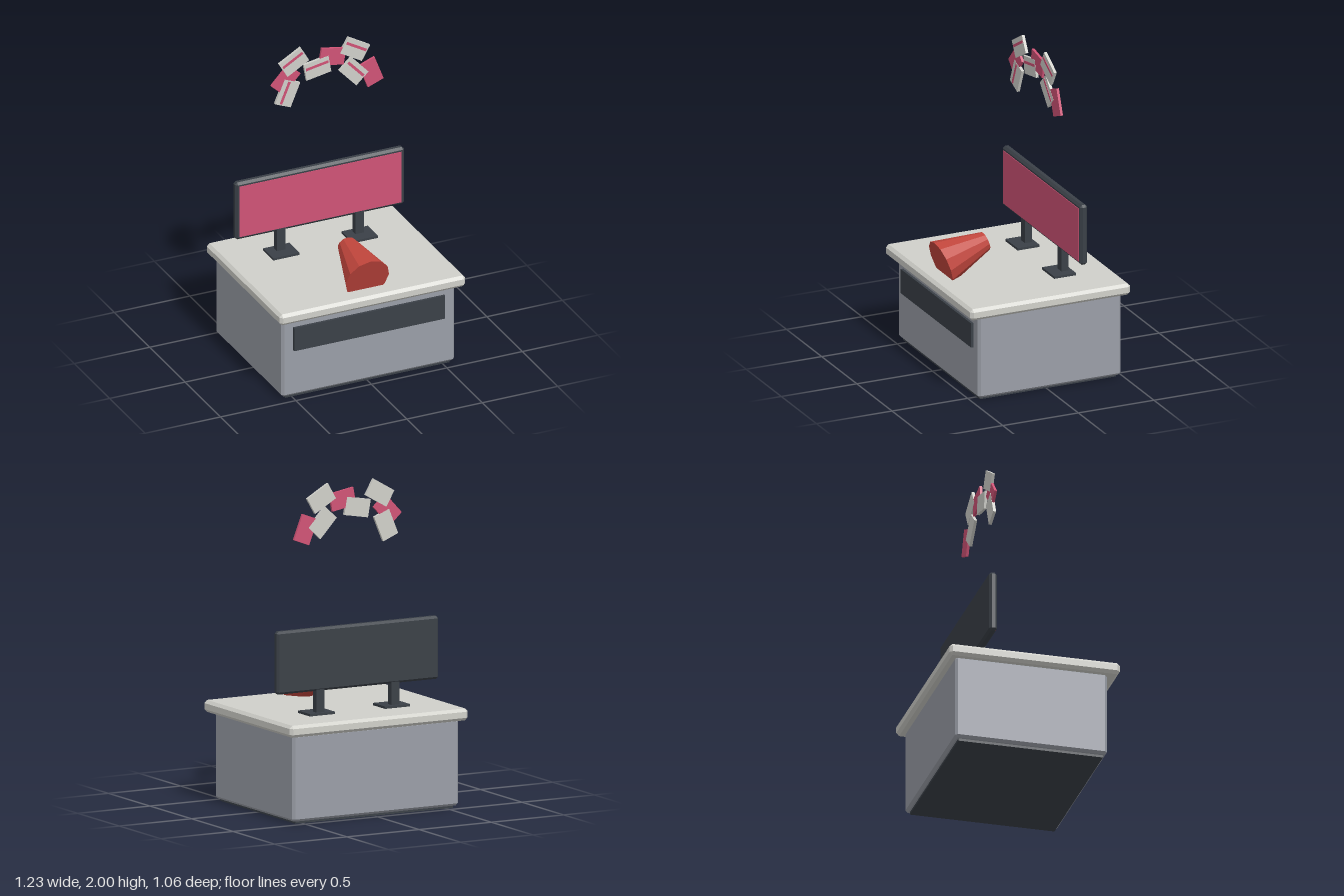
import * as THREE from 'three';
import { ConvexGeometry } from 'three/addons/geometries/ConvexGeometry.js';

const makeMaterial = (name, color) => {
  const m = new THREE.MeshStandardMaterial({ color });
  m.name = name;
  return m;
};

// Box with flat chamfers along every edge
function chamferBox(w, h, d, r) {
  const points = [];
  const [a, b, c] = [w / 2, h / 2, d / 2];
  for (const sx of [-1, 1]) for (const sy of [-1, 1]) for (const sz of [-1, 1]) {
    points.push(
      new THREE.Vector3(sx * a, sy * (b - r), sz * (c - r)),
      new THREE.Vector3(sx * (a - r), sy * b, sz * (c - r)),
      new THREE.Vector3(sx * (a - r), sy * (b - r), sz * c),
    );
  }
  return new ConvexGeometry(points);
}

export function createModel() {
  const model = new THREE.Group();
  model.name = 'deskWithFloatingCards';

  const cream = makeMaterial('cream', 0xd0d0ca);
  const grey = makeMaterial('blueGrey', 0x9a9ea7);
  const dark = makeMaterial('charcoal', 0x3a4047);
  const pink = makeMaterial('pink', 0xd05376);
  const red = makeMaterial('red', 0xc0453c);
  red.flatShading = true;

  function add(name, geometry, material, x, y, z, parent = model) {
    const mesh = new THREE.Mesh(geometry, material);
    mesh.name = name;
    mesh.position.set(x, y, z);
    parent.add(mesh);
    return mesh;
  }
  const box = (w, h, d) => new THREE.BoxGeometry(w, h, d);

  // Desk
  add('plinth', box(1.09, 0.03, 0.9), dark, 0, 0.015, -0.01);
  add('cabinet', chamferBox(1.146, 0.53, 0.945, 0.015), grey, 0, 0.28, -0.012);
  add('frontPanel', box(1.0, 0.155, 0.03), dark, 0, 0.4, 0.462);
  add('tableTop', chamferBox(1.232, 0.073, 1.06, 0.018), cream, 0, 0.573, 0);

  // Wide display on two stands
  add('displayCase', chamferBox(1.12, 0.384, 0.05, 0.014), dark, 0, 0.947, -0.245);
  add('screen', box(1.074, 0.34, 0.006), pink, 0, 0.945, -0.2195);
  for (const side of [-1, 1]) {
    const stand = new THREE.Group();
    stand.name = side > 0 ? 'leftStand' : 'rightStand';
    stand.position.x = side * 0.26;
    model.add(stand);
    add('standNeck', box(0.055, 0.16, 0.045), dark, 0, 0.69, -0.243, stand);
    add('standFoot', box(0.174, 0.018, 0.145), dark, 0, 0.615, -0.217, stand);
  }

  // Tapered horn lying on the desk, wide end toward the front
  const horn = add('horn', new THREE.CylinderGeometry(0.143, 0.058, 0.31, 12), red, 0, 0.734, 0.296);
  horn.rotation.x = Math.PI / 2 + 0.31;

  // Arc of floating cards: x, y, tilt in degrees, striped or plain
  const cards = [
    [-0.243, 1.707, 67.5, true],
    [-0.254, 1.8, 47, false],
    [-0.2, 1.908, 30, true],
    [-0.045, 1.834, 10, true],
    [0.056, 1.89, -10, false],
    [0.204, 1.908, -30, true],
    [0.196, 1.76, -47, true],
    [0.312, 1.728, -69, false],
  ];
  for (const [x, y, tilt, striped] of cards) {
    const card = new THREE.Group();
    card.name = striped ? 'stripedCard' : 'plainCard';
    card.position.set(x, y, -0.173);
    card.rotation.z = THREE.MathUtils.degToRad(tilt);
    model.add(card);
    add('cardBody', box(0.166, 0.111, striped ? 0.018 : 0.016), striped ? cream : pink, 0, 0, 0, card);
    if (striped) add('cardStripe', box(0.15, 0.017, 0.004), pink, 0, 0.018, 0.009, card);
  }

  return model;
}
